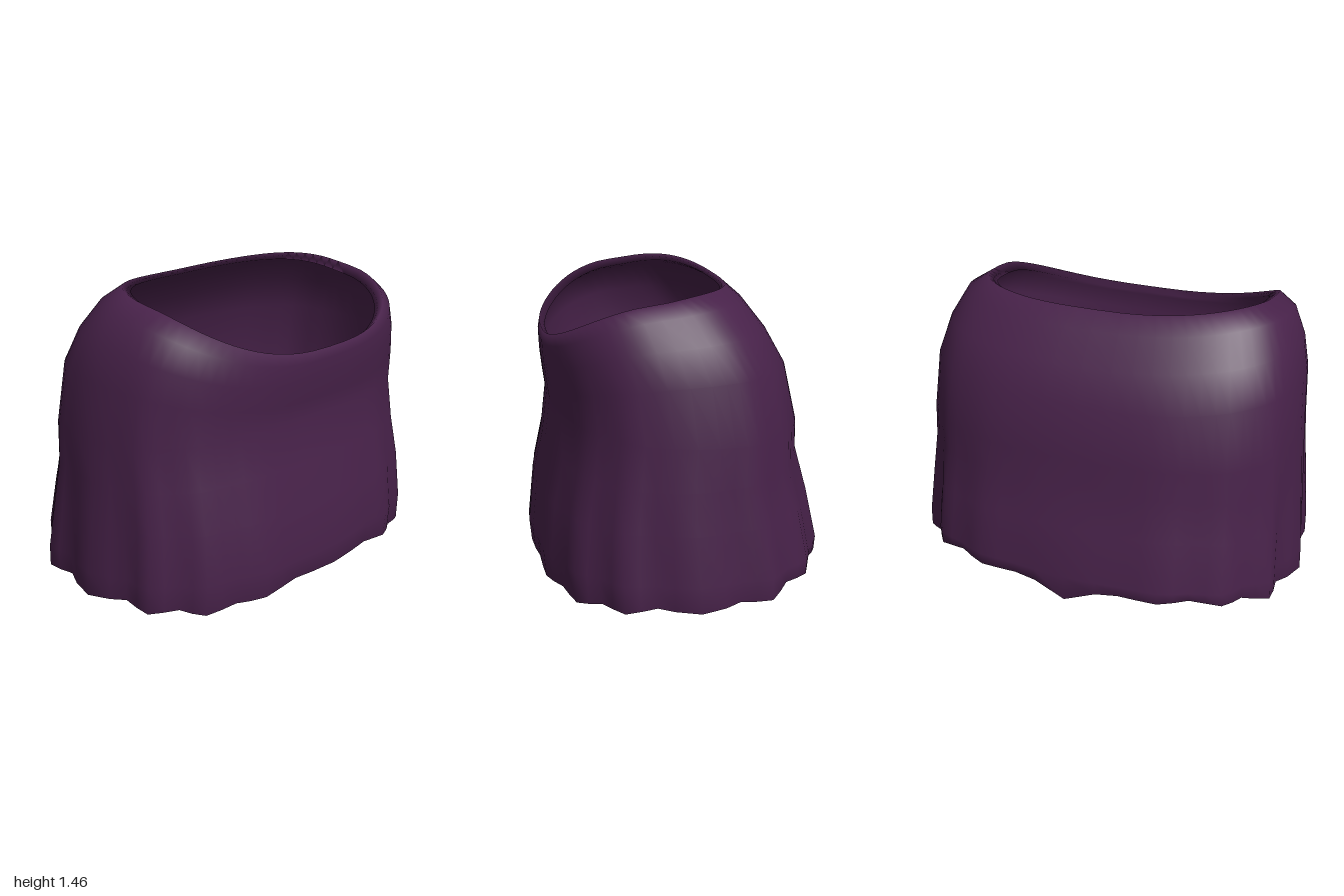
import * as THREE from 'three';

const COLUMNS = 64;
const PLEATS = 16;

// Cross-sections from collar to hem:
// half width, front z, back z, front y, side y, back y, pleat strength
const RINGS = [
  [0.685, 0.60, -0.228, 1.165, 1.375, 1.41, 0],
  [0.735, 0.628, -0.25, 1.19, 1.41, 1.43, 0],
  [0.825, 0.635, -0.33, 1.14, 1.355, 1.36, 0],
  [0.89, 0.63, -0.44, 1.05, 1.23, 1.22, 0],
  [0.93, 0.618, -0.53, 0.95, 1.07, 1.06, 0.1],
  [0.945, 0.605, -0.588, 0.86, 0.80, 0.80, 0.2],
  [0.952, 0.63, -0.588, 0.65, 0.60, 0.66, 0.4],
  [0.96, 0.675, -0.645, 0.45, 0.40, 0.45, 0.65],
  [0.971, 0.70, -0.698, 0.20, 0.16, 0.20, 0.9],
  [0.971, 0.688, -0.69, 0.10, 0.05, 0.13, 1],
];
const HEM = RINGS.length - 1;
const THICKNESS = 0.012;

const rounded = (v) => Math.sign(v) * Math.pow(Math.abs(v), 0.77);

// Point on a ring, moved inwards by inset
function ringPoint(index, column, inset) {
  const [halfX, front, back, yFront, ySide, yBack, pleat] = RINGS[index];
  const angle = (column / COLUMNS) * Math.PI * 2;
  const c = Math.cos(angle), s = Math.sin(angle);
  const wave = Math.cos(angle * PLEATS) * pleat;
  const scale = 1 + 0.03 * wave * (0.3 + 0.7 * c * c);
  const x = rounded(c) * (halfX - inset) * scale;
  const z = (front + back) / 2 + rounded(s) * ((front - back) / 2 - inset) * scale;

  // Front, side and back heights, with one shoulder slightly raised
  let y = ySide + s * (yFront - yBack) / 2 + s * s * ((yFront + yBack) / 2 - ySide);
  y -= c * (0.038 - 0.018 * pleat);
  if (index === HEM) {
    y -= 0.007 * wave + 0.04 * s * Math.sin(angle * 2) ** 2; // hem drops at the front corners
    if (column === COLUMNS * 0.75) y -= 0.06; // small point at the back of the hem
  }
  return [x, Math.max(y, 0), z];
}

// Closed shell: over the collar, down the outside, under the hem, up the inside
function shellGeometry() {
  const path = [];
  for (let i = 0; i <= HEM; i++) path.push([i, 0]);
  for (let i = HEM; i >= 2; i--) path.push([i, THICKNESS]);

  const positions = [], indices = [];
  path.forEach(([ring, inset], r) => {
    const next = (r + 1) % path.length;
    for (let c = 0; c < COLUMNS; c++) {
      positions.push(...ringPoint(ring, c, inset));
      const d = (c + 1) % COLUMNS;
      const a = r * COLUMNS + c, b = r * COLUMNS + d;
      const e = next * COLUMNS + c, f = next * COLUMNS + d;
      indices.push(a, b, e, b, f, e);
    }
  });

  const geometry = new THREE.BufferGeometry();
  geometry.setAttribute('position', new THREE.Float32BufferAttribute(positions, 3));
  geometry.setIndex(indices);
  geometry.computeVertexNormals();
  return geometry;
}

export function createModel() {
  const group = new THREE.Group();
  group.name = 'shoulderCape';
  const purpleCloth = new THREE.MeshStandardMaterial({ color: 0x48224a });
  purpleCloth.name = 'purpleCloth';
  const cape = new THREE.Mesh(shellGeometry(), purpleCloth);
  cape.name = 'capeCloth';
  group.add(cape);
  return group;
}
